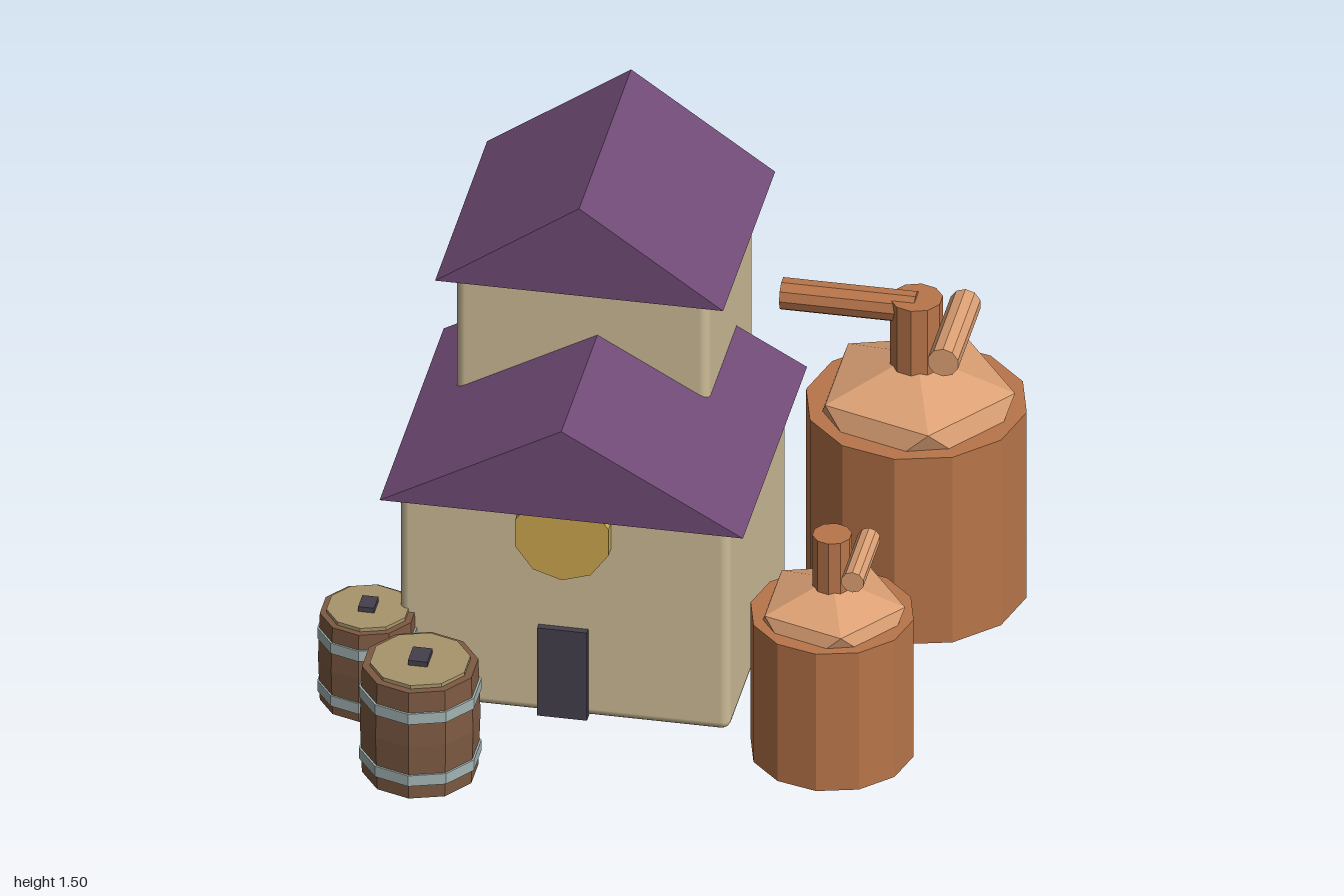
import * as THREE from 'three';
import { RoundedBoxGeometry } from 'three/addons/geometries/RoundedBoxGeometry.js';

const mat = (name, color) => {
  const m = new THREE.MeshStandardMaterial({ color });
  m.name = name;
  return m;
};

// Facet a geometry: every face gets its own normal
const facet = (geo) => {
  const g = geo.index ? geo.toNonIndexed() : geo;
  g.computeVertexNormals();
  return g;
};

export function createModel() {
  const model = new THREE.Group();
  model.name = 'distillery';

  const wall = mat('plaster', 0xcdbc97);
  const roofing = mat('purple roof', 0x704b76);
  const copper = mat('copper', 0xb8754a);
  const paleCopper = mat('pale copper', 0xdca074);
  const gold = mat('gold glass', 0xcca850);
  const dark = mat('dark iron', 0x443f4c);
  const wood = mat('barrel wood', 0x7d5a42);
  const hoopMetal = mat('hoop metal', 0xa3b3b3);
  const lidWood = mat('lid wood', 0xa8956b);

  const add = (parent, name, geo, material, x = 0, y = 0, z = 0) => {
    const mesh = new THREE.Mesh(geo, material);
    mesh.name = name;
    mesh.position.set(x, y, z);
    parent.add(mesh);
    return mesh;
  };
  const group = (name, x, z) => {
    const g = new THREE.Group();
    g.name = name;
    g.position.set(x, 0, z);
    model.add(g);
    return g;
  };
  const tube = (rTop, rBottom, h, sides) => facet(new THREE.CylinderGeometry(rTop, rBottom, h, sides));

  // House blocks, given by their extents
  const block = (name, x0, x1, y0, y1, z0, z1) =>
    add(model, name, new RoundedBoxGeometry(x1 - x0, y1 - y0, z1 - z0, 2, 0.03), wall,
      (x0 + x1) / 2, (y0 + y1) / 2, (z0 + z1) / 2);
  block('lowerHouse', -0.76, 0.25, 0, 0.725, -0.535, 0.34);
  block('upperHouse', -0.69, 0.085, 0.37, 1.2, -0.855, -0.17);

  // Gabled roofs: triangular prisms running along z
  const gable = (name, x0, x1, y0, y1, z0, z1) => {
    const s = new THREE.Shape();
    s.moveTo(x0, y0);
    s.lineTo(x1, y0);
    s.lineTo((x0 + x1) / 2, y1);
    s.closePath();
    add(model, name, new THREE.ExtrudeGeometry(s, { depth: z1 - z0, bevelEnabled: false }), roofing, 0, 0, z0);
  };
  gable('lowerRoof', -0.81, 0.3, 0.72, 1.03, -0.6, 0.385);
  gable('upperRoof', -0.74, 0.14, 1.197, 1.505, -0.915, -0.115);

  // Door and windows
  add(model, 'door', new THREE.BoxGeometry(0.152, 0.31, 0.04), dark, -0.257, 0.157, 0.342);
  add(model, 'roundWindow', tube(0.15, 0.15, 0.06, 10), gold, -0.255, 0.65, 0.348).rotation.x = Math.PI / 2;
  add(model, 'sideWindow', new THREE.BoxGeometry(0.04, 0.16, 0.16), gold, -0.76, 0.29, -0.06);
  add(model, 'upperSideWindow', new THREE.BoxGeometry(0.04, 0.14, 0.16), gold, -0.695, 0.645, -0.485);

  // Copper stills: vat, faceted dome, neck, outlet pipe and two legs
  const still = (name, x, z, o) => {
    const g = group(name, x, z);
    add(g, 'vat', tube(o.r, o.r, o.top - o.base, 12), copper, 0, (o.top + o.base) / 2, 0);

    const dome = new THREE.IcosahedronGeometry(o.r, 0);
    dome.rotateZ(-Math.atan(2 / (1 + Math.sqrt(5)))); // one corner straight up
    dome.scale(1, 0.57, 1);
    add(g, 'dome', facet(dome), paleCopper, 0, o.top - 0.023, 0);

    add(g, 'neck', tube(o.neckR, o.neckR, o.neckTop - o.top, 10), copper, 0, (o.neckTop + o.top) / 2, 0);
    add(g, 'outletPipe', tube(o.pipeR, o.pipeR, o.pipeLen, 10), paleCopper,
      o.pipeX, o.neckTop, o.pipeLen / 2).rotation.x = Math.PI / 2;
    for (const s of [-1, 1])
      add(g, 'leg', tube(o.legR, o.legR, o.base + 0.01, 8), dark, s * o.legX, (o.base + 0.01) / 2, 0);
    return g;
  };
  const big = still('largeStill', 0.66, -0.47, {
    r: 0.337, base: 0.07, top: 0.725, neckR: 0.08, neckTop: 1.09,
    pipeR: 0.048, pipeLen: 0.345, pipeX: 0.15, legR: 0.045, legX: 0.215,
  });
  add(big, 'armToHouse', tube(0.05, 0.05, 0.41, 10), copper, -0.205, 1.055, 0).rotation.z = Math.PI / 2;
  still('smallStill', 0.585, 0.447, {
    r: 0.249, base: 0.053, top: 0.537, neckR: 0.06, neckTop: 0.81,
    pipeR: 0.035, pipeLen: 0.257, pipeX: 0.113, legR: 0.033, legX: 0.163,
  });

  // Barrels: staved body, two hoops, lid and bung
  const barrel = (name, x, z, r, h, hoops) => {
    const g = group(name, x, z);
    const profile = [[0, 0], [0.95, 0], [0.985, 0.5], [0.95, 1], [0, 1]]
      .map(([a, b]) => new THREE.Vector2(a * r, b * h));
    add(g, 'staves', facet(new THREE.LatheGeometry(profile, 10)), wood);
    for (const y of hoops) add(g, 'hoop', tube(r, r, 0.037, 10), hoopMetal, 0, y, 0);
    add(g, 'lid', tube(r * 0.82, r * 0.82, 0.02, 10), lidWood, 0, h + 0.002, 0);
    add(g, 'bung', new THREE.BoxGeometry(r * 0.32, 0.03, r * 0.43), dark, 0, h + 0.014, 0);
  };
  barrel('largeBarrel', -0.62, 0.717, 0.185, 0.373, [0.067, 0.285]);
  barrel('smallBarrel', -0.851, 0.352, 0.154, 0.306, [0.05, 0.236]);

  return model;
}
